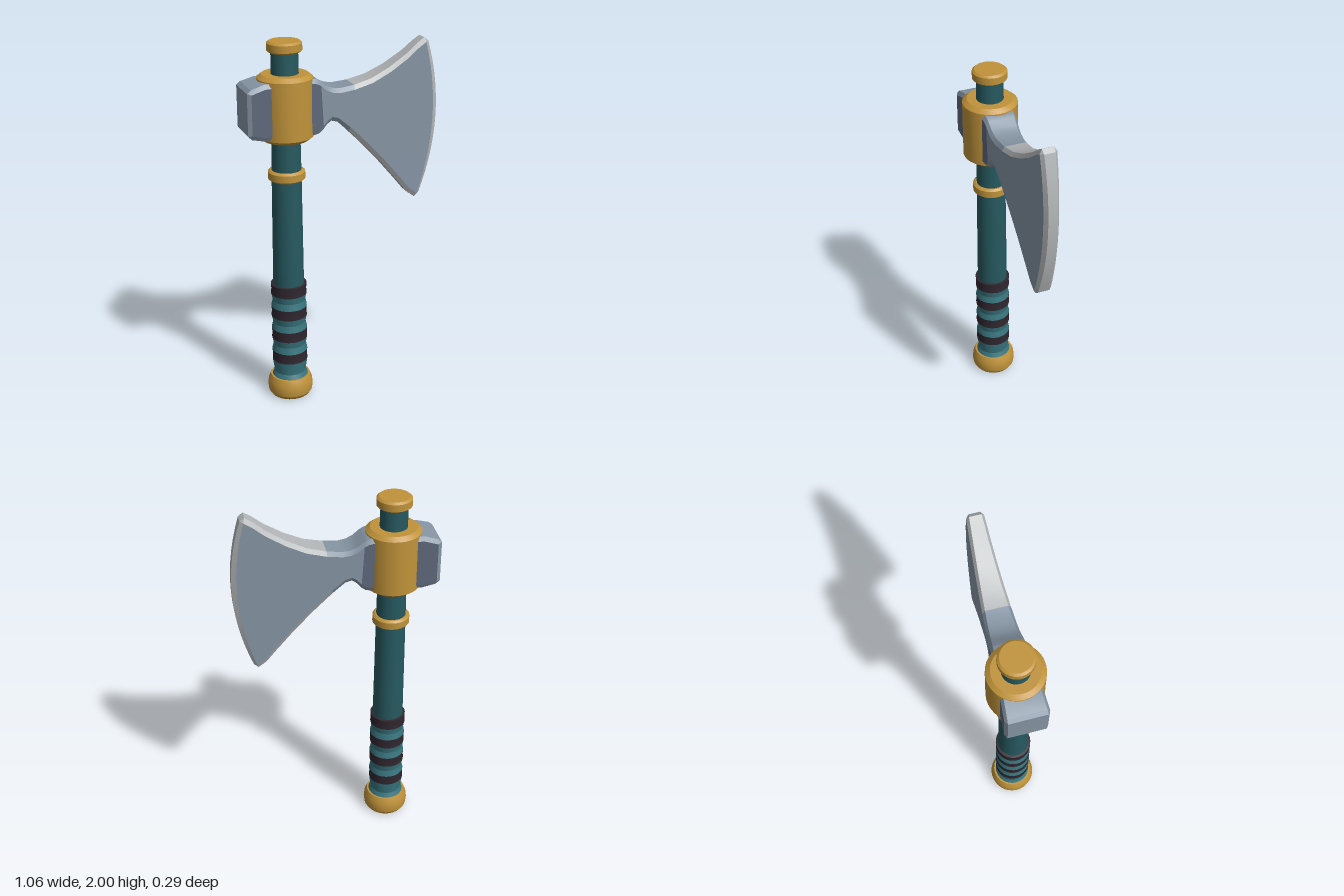
import * as THREE from 'three';
import { toCreasedNormals } from 'three/addons/utils/BufferGeometryUtils.js';

const AXIS = -0.305; // x of the handle axis

const material = (name, color) => {
  const m = new THREE.MeshStandardMaterial({ color });
  m.name = name;
  return m;
};

// Turned part around the handle axis, profile as [radius, y] from bottom to top
function turned(name, mat, profile) {
  const lathe = new THREE.LatheGeometry(profile.map(([r, y]) => new THREE.Vector2(r, y)), 32);
  const mesh = new THREE.Mesh(toCreasedNormals(lathe, 0.4), mat);
  mesh.name = name;
  mesh.position.x = AXIS;
  return mesh;
}

// Chamfered disc or ring
const collarProfile = (r, y0, y1, c) => [[0, y0], [r - c, y0], [r, y0 + c * 0.8], [r, y1 - c * 0.8], [r - c, y1], [0, y1]];

// Axe head columns from poll to cutting edge: top x, top y, bottom x, bottom y, bulge
const COLUMNS = [
  [-0.533, 1.77, -0.533, 1.55, 0],
  [-0.513, 1.787, -0.513, 1.53, 0],
  [-0.44, 1.808, -0.44, 1.512, 0],
  [-0.19, 1.812, -0.19, 1.51, 0],
  [-0.16, 1.805, -0.15, 1.517, 0],
  [-0.14, 1.793, -0.125, 1.535, 0],
  [-0.105, 1.765, -0.105, 1.56, 0],
  [-0.07, 1.75, -0.08, 1.578, 0],
  [-0.03, 1.745, -0.045, 1.568, 0],
  [0.05, 1.753, 0.02, 1.51, 0.005],
  [0.15, 1.778, 0.12, 1.41, 0.015],
  [0.25, 1.825, 0.22, 1.3, 0.03],
  [0.35, 1.888, 0.32, 1.18, 0.05],
  [0.41, 1.937, 0.37, 1.117, 0.065],
  [0.45, 1.963, 0.412, 1.085, 0.075],
  [0.474, 1.945, 0.437, 1.105, 0.075],
];

// Tapered, chamfered body; groups: 0 steel, 1 dark cheeks, 2 bright edge
function headGeometry() {
  const rows = 14, last = COLUMNS.length - 1, chamfer = 0.014;
  const rings = COLUMNS.map(([tx, ty, bx, by, bulge], i) => {
    const end = i === 0 || i === last;
    const inset = end ? 0 : 0.023 / (ty - by);
    const at = (v, side, drop) => {
      const x = bx + (tx - bx) * v + bulge * 4 * v * (1 - v);
      const half = 0.11 - 0.068 * (x + 0.513);
      return [x, by + (ty - by) * v, side * (half - drop)];
    };
    const ring = [];
    const face = (j, side) => at(inset + (1 - 2 * inset) * j / rows, side, end ? chamfer : 0);
    for (let j = 0; j <= rows; j++) ring.push(face(j, 1));
    ring.push(at(1, 1, chamfer), at(1, -1, chamfer));
    for (let j = rows; j >= 0; j--) ring.push(face(j, -1));
    ring.push(at(0, -1, chamfer), at(0, 1, chamfer));
    return ring;
  });

  const buckets = [[], [], []];
  const quad = (k, a, b, c, d) => buckets[k].push(...a, ...b, ...c, ...a, ...c, ...d);
  const n = rings[0].length;
  for (let i = 0; i < last; i++) {
    for (let j = 0; j < n; j++) {
      const cheek = j < rows || (j > rows + 2 && j < 2 * rows + 3);
      let k = 0;
      if (cheek && i > 0 && i < 5) k = 1;
      if ((!cheek && i >= 9) || i === last - 1) k = 2;
      const m = (j + 1) % n;
      quad(k, rings[i][j], rings[i + 1][j], rings[i + 1][m], rings[i][m]);
    }
  }
  // Poll end and cutting edge
  for (let j = 0; j < rows; j++) {
    const back = 2 * rows + 3 - j;
    const [p, e] = [rings[0], rings[last]];
    quad(0, p[j], p[j + 1], p[back - 1], p[back]);
    quad(2, e[back], e[back - 1], e[j + 1], e[j]);
  }

  const geometry = new THREE.BufferGeometry();
  geometry.setAttribute('position', new THREE.Float32BufferAttribute(buckets.flat(), 3));
  let start = 0;
  buckets.forEach((b, k) => {
    geometry.addGroup(start, b.length / 3, k);
    start += b.length / 3;
  });
  const creased = toCreasedNormals(geometry, 0.4);
  creased.groups = geometry.groups;
  return creased;
}

export function createModel() {
  const gold = material('gold', 0xc0933a);
  const teal = material('dark teal', 0x26595f);
  const wrap = material('grip teal', 0x38757e);
  const band = material('dark band', 0x30262f);
  const steel = material('steel', 0x8695a4);
  const darkSteel = material('dark steel', 0x5f697c);
  const edge = material('bright edge', 0xb3b6b8);

  const model = new THREE.Group();
  model.name = 'axe';

  // Handle and metal fittings
  model.add(
    turned('handle', teal, [[0.084, 0.64], [0.079, 1.25], [0.07, 1.96]]),
    turned('pommel', gold, [[0, 0], [0.108, 0], [0.121, 0.02], [0.125, 0.05], [0.121, 0.085], [0.108, 0.115], [0, 0.115]]),
    turned('neckRing', gold, collarProfile(0.098, 1.265, 1.322, 0.012)),
    turned('collar', gold, collarProfile(0.145, 1.488, 1.833, 0.024)),
    turned('topCap', gold, collarProfile(0.091, 1.943, 2.0, 0.012)),
  );

  // Wrapped grip: raised dark bands with shallow waists between them
  model.add(turned('gripBase', wrap, [[0.1, 0.11], [0.087, 0.14], [0.088, 0.15], [0.097, 0.213]]));
  for (let i = 0; i < 4; i++) {
    const y = 0.213 + i * 0.133;
    const top = i === 3 ? [[0.097, y + 0.058], [0.08, y + 0.06]] : [[0.097, y + 0.058]];
    model.add(turned('gripBand', band, [[0.097, y], [0.095, y + 0.029], ...top]));
    if (i < 3) model.add(turned('gripWrap', wrap, [[0.097, y + 0.058], [0.089, y + 0.095], [0.097, y + 0.133]]));
  }

  // Axe head passing through the collar
  const head = new THREE.Mesh(headGeometry(), [steel, darkSteel, edge]);
  head.name = 'axeHead';
  model.add(head);
  return model;
}
